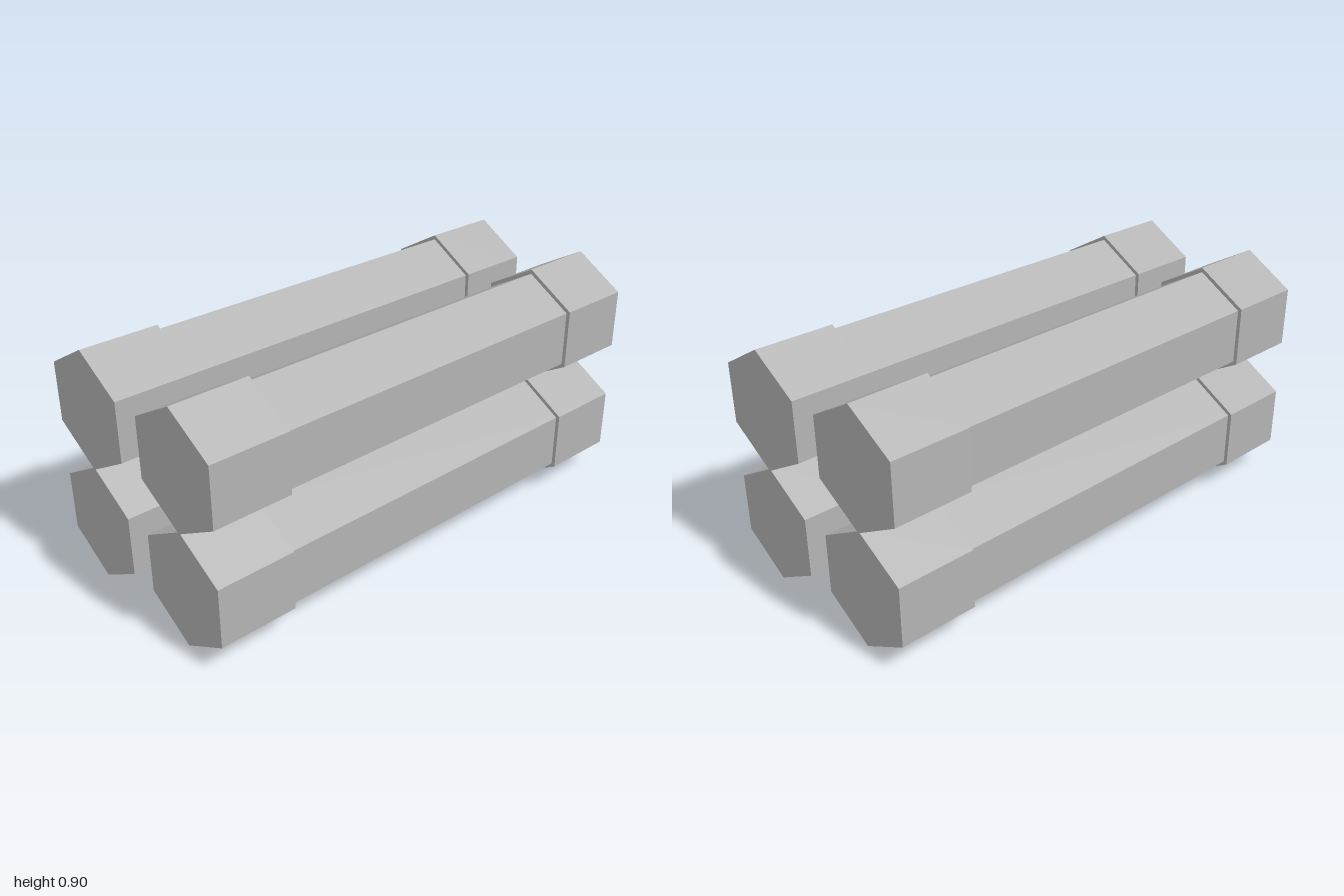
import * as THREE from 'three';

const LENGTH = 1.926;      // full bar length
const CAP_LENGTH = 0.297;  // thick collar at each end
const CAP_RADIUS = 0.226;
const CORE_RADIUS = 0.209;

export function createModel() {
  const model = new THREE.Group();
  model.name = 'hexBarStack';
  const grey = new THREE.MeshStandardMaterial({ color: 0xb4b4b4, flatShading: true });
  grey.name = 'grey';

  // Hexagonal prism along z with one corner pointing up
  const prism = (radius, length) =>
    new THREE.CylinderGeometry(radius, radius, length, 6).rotateX(-Math.PI / 2);
  const coreGeometry = prism(CORE_RADIUS, LENGTH - 2 * CAP_LENGTH);
  const capGeometry = prism(CAP_RADIUS, CAP_LENGTH);

  const addPart = (parent, name, geometry, z) => {
    const mesh = new THREE.Mesh(geometry, grey);
    mesh.name = name;
    mesh.position.z = z;
    parent.add(mesh);
  };

  // Two columns of two bars
  for (const [column, x] of [['back', -0.256], ['front', 0.256]]) {
    for (const [row, y] of [['Lower', 0.226], ['Upper', 0.67]]) {
      const bar = new THREE.Group();
      bar.name = `${column}${row}Bar`;
      bar.position.set(x, y, 0);
      addPart(bar, 'core', coreGeometry, 0);
      addPart(bar, 'leftCap', capGeometry, -(LENGTH - CAP_LENGTH) / 2);
      addPart(bar, 'rightCap', capGeometry, (LENGTH - CAP_LENGTH) / 2);
      model.add(bar);
    }
  }

  // The whole stack lies diagonally
  model.rotation.y = -Math.PI / 4;
  return model;
}
